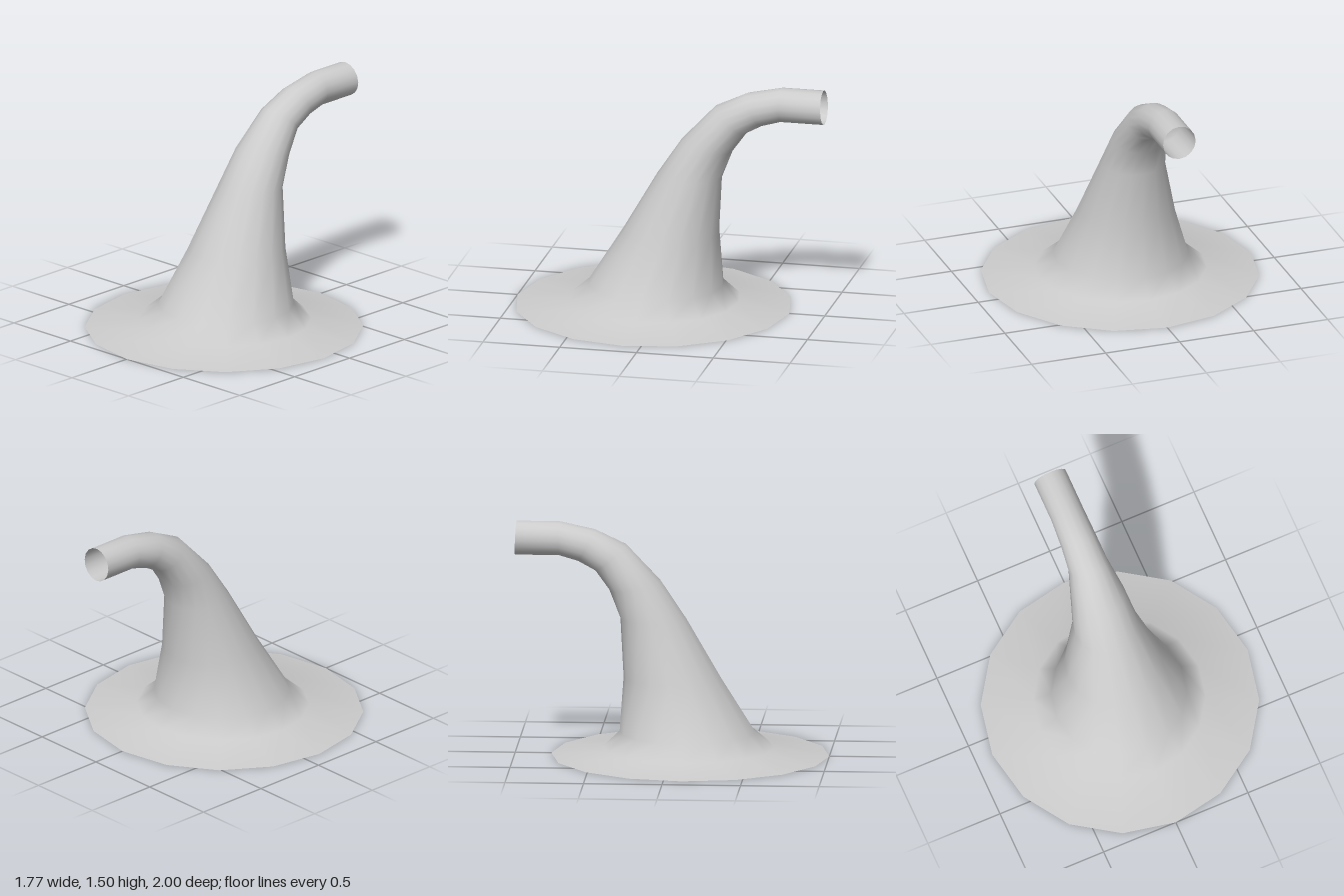
import * as THREE from 'three';

const SIDES = 16;

// Each ring: front point (z, y), back point (z, y), half width in x
const RINGS = [
  [1.0, 0, -0.77, 0, 0.885],
  [0.65, 0.05, -0.44, 0.05, 0.55],
  [0.53, 0.15, -0.335, 0.15, 0.432],
  [0.31, 0.5, -0.31, 0.5, 0.31],
  [0.09, 0.88, -0.33, 0.88, 0.207],
  [-0.07, 1.12, -0.4, 1.06, 0.175],
  [-0.29, 1.355, -0.49, 1.185, 0.13],
  [-0.49, 1.45, -0.6, 1.245, 0.118],
  [-0.72, 1.5, -0.72, 1.28, 0.11],
  [-0.99, 1.5, -1.0, 1.28, 0.11],
];

// Joins the elliptical rings into one smooth, open-ended skin
function loftRings(rings) {
  const positions = [];
  const indices = [];
  rings.forEach(([zf, yf, zb, yb, halfWidth], r) => {
    for (let s = 0; s < SIDES; s++) {
      const angle = (s / SIDES) * Math.PI * 2;
      const t = (1 + Math.cos(angle)) / 2; // 1 at the front, 0 at the back
      positions.push(halfWidth * Math.sin(angle), yb + (yf - yb) * t, zb + (zf - zb) * t);
      if (r === rings.length - 1) continue;
      const a = r * SIDES + s;
      const b = r * SIDES + ((s + 1) % SIDES);
      indices.push(a, b, b + SIDES, a, b + SIDES, a + SIDES);
    }
  });
  const geometry = new THREE.BufferGeometry();
  geometry.setAttribute('position', new THREE.Float32BufferAttribute(positions, 3));
  geometry.setIndex(indices);
  geometry.computeVertexNormals();
  return geometry;
}

export function createModel() {
  const group = new THREE.Group();
  group.name = 'flaredBentSpout';

  // Thin hollow shell: wide brim, tapering body and bent tube
  const material = new THREE.MeshStandardMaterial({ color: 0xcccccc, side: THREE.DoubleSide });
  const shell = new THREE.Mesh(loftRings(RINGS), material);
  shell.name = 'flaredShell';
  group.add(shell);
  return group;
}
